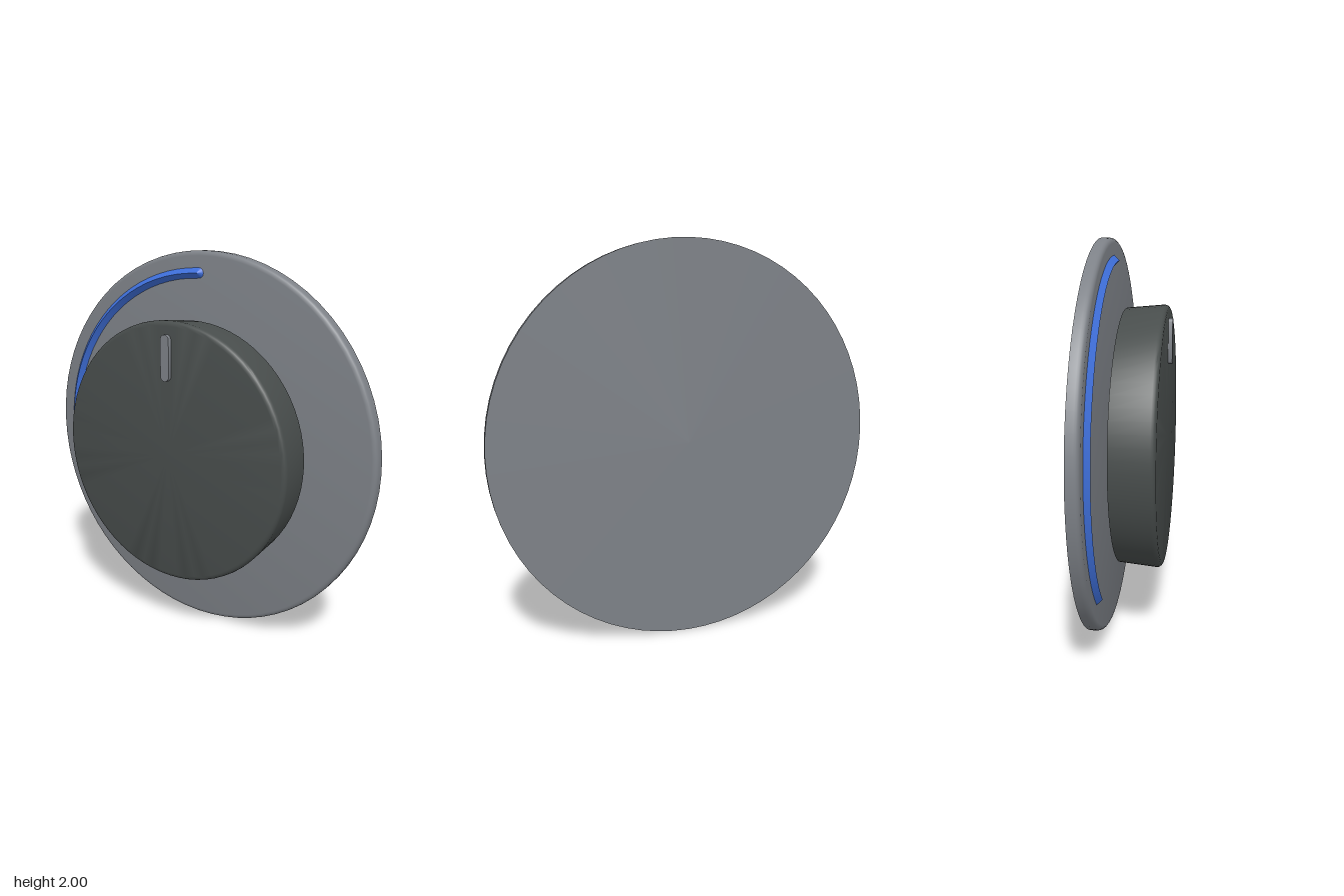
import * as THREE from 'three';
import { toCreasedNormals } from 'three/addons/utils/BufferGeometryUtils.js';

const material = (name, color) => Object.assign(new THREE.MeshStandardMaterial({ color }), { name });

// Closed disc turned about the z axis; profile points are [radius, z], back to front
function turned(profile) {
  const points = profile.map(([r, z]) => new THREE.Vector2(r, z));
  return toCreasedNormals(new THREE.LatheGeometry(points, 72).rotateX(Math.PI / 2), 0.6);
}

// Quarter-round profile points ending flat at the front
function roundEdge(radius, front, size) {
  return [0, 1, 2, 3, 4].map((i) => {
    const a = (i / 4) * Math.PI / 2;
    return [radius - size + size * Math.cos(a), front - size + size * Math.sin(a)];
  });
}

export function createModel() {
  const grey = material('grey', 0x7d8187);
  const charcoal = material('charcoal', 0x484d4c);
  const blue = material('blue', 0x3f70dc);

  const group = new THREE.Group();
  group.name = 'dial';
  const add = (name, geometry, mat, x = 0, y = 1, z = 0) => {
    const mesh = new THREE.Mesh(geometry, mat);
    mesh.name = name;
    mesh.position.set(x, y, z);
    group.add(mesh);
  };

  // Back plate with a rounded front rim
  add('backPlate', turned([[0, -0.177], [1, -0.177], ...roundEdge(1, -0.117, 0.025), [0, -0.117]]), grey);

  // Knob, slightly wider towards the front, floating ahead of the plate
  add('knob', turned([[0, -0.06], [0.658, -0.06], ...roundEdge(0.675, 0.156, 0.025), [0, 0.156]]), charcoal);

  // Upright pointer with round ends on the knob face
  const half = 0.09, r = 0.025;
  const slot = new THREE.Shape();
  slot.absarc(0, half, r, 0, Math.PI, false);
  slot.absarc(0, -half, r, Math.PI, Math.PI * 2, false);
  const pointer = new THREE.ExtrudeGeometry(slot, { depth: 0.027, bevelEnabled: false, curveSegments: 8 });
  add('pointer', toCreasedNormals(pointer, 0.6), grey, 0, 1.495, 0.15);

  // Ridged level arc from the top round to the lower right side
  const R = 0.89, tube = 0.026, centre = -0.117;
  const start = Math.PI / 2, sweep = Math.PI * 0.75;
  const arc = new THREE.TorusGeometry(R, tube, 4, 32, sweep).rotateZ(start);
  add('levelArc', toCreasedNormals(arc, 0.6), blue, 0, 1, centre);

  // Pointed round caps at both ends of the arc
  for (const a of [start, start + sweep]) {
    const cap = new THREE.SphereGeometry(tube, 12, 2).rotateX(Math.PI / 2);
    add('arcEnd', toCreasedNormals(cap, 0.6), blue, R * Math.cos(a), 1 + R * Math.sin(a), centre);
  }

  return group;
}
